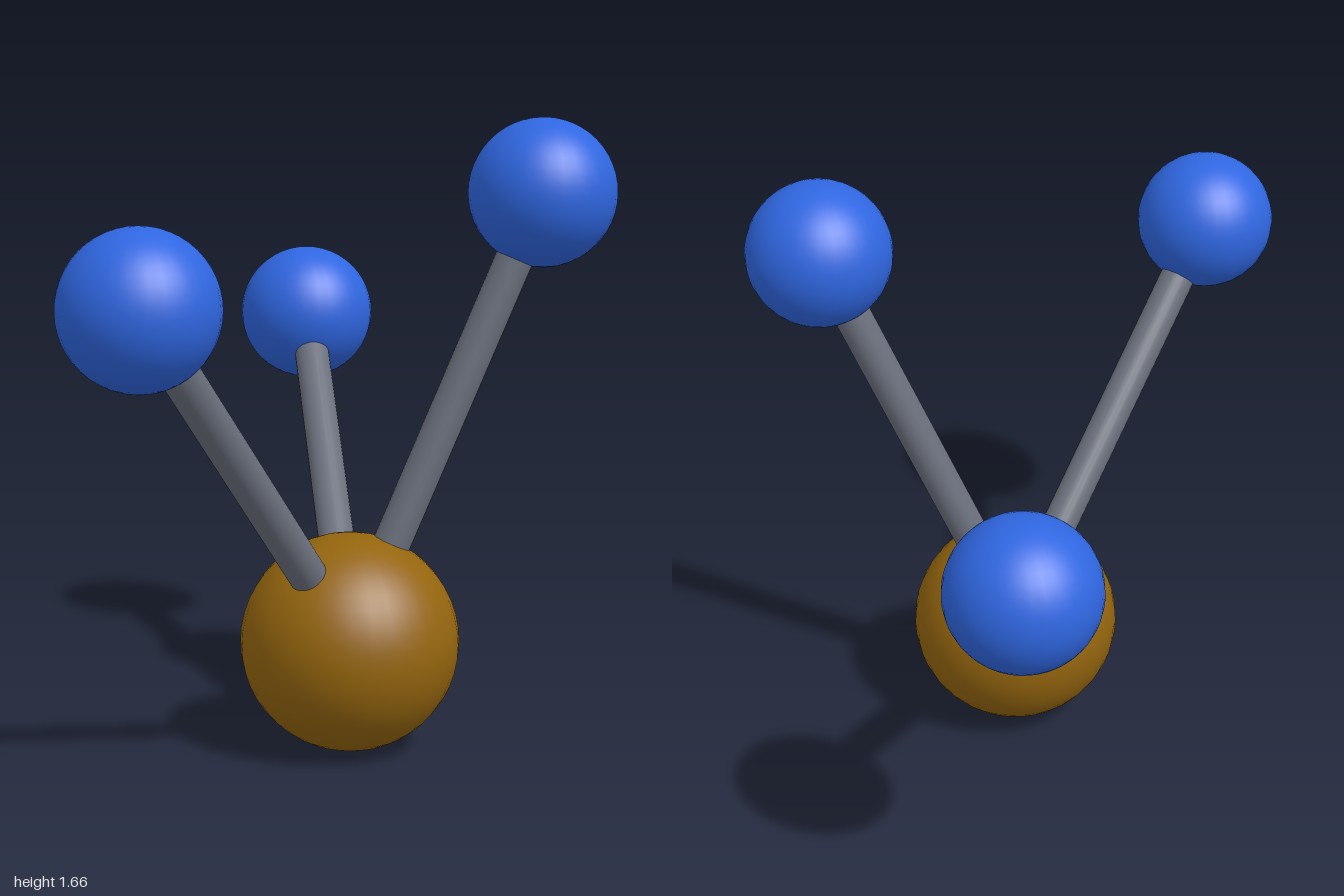
import * as THREE from 'three';

const material = (name, color) => {
  const m = new THREE.MeshStandardMaterial({ color });
  m.name = name;
  return m;
};

export function createModel() {
  const group = new THREE.Group();
  group.name = 'ballAndStickModel';
  const brown = material('brown', 0x94650e);
  const blue = material('blue', 0x2f66e0);
  const grey = material('grey', 0x6b707d);

  const addBall = (name, position, radius, mat) => {
    const ball = new THREE.Mesh(new THREE.SphereGeometry(radius, 32, 24), mat);
    ball.name = name;
    ball.position.copy(position);
    group.add(ball);
  };

  // Large central ball
  const centre = new THREE.Vector3(0.054, 0.289, 0.235);
  addBall('centreBall', centre, 0.289, brown);

  // Three outer balls, each joined to the centre by a rod
  const outer = {
    right: [-0.569, 1.252, 0.805],
    left: [0.565, 1.465, 0.235],
    back: [0.145, 1.038, -0.805],
  };
  for (const [side, p] of Object.entries(outer)) {
    const end = new THREE.Vector3(...p);
    addBall(side + 'Ball', end, 0.195, blue);

    const along = end.clone().sub(centre);
    const rod = new THREE.Mesh(new THREE.CylinderGeometry(0.05, 0.05, along.length(), 24), grey);
    rod.name = side + 'Rod';
    rod.position.copy(centre).addScaledVector(along, 0.5);
    rod.quaternion.setFromUnitVectors(new THREE.Vector3(0, 1, 0), along.normalize());
    group.add(rod);
  }
  return group;
}
